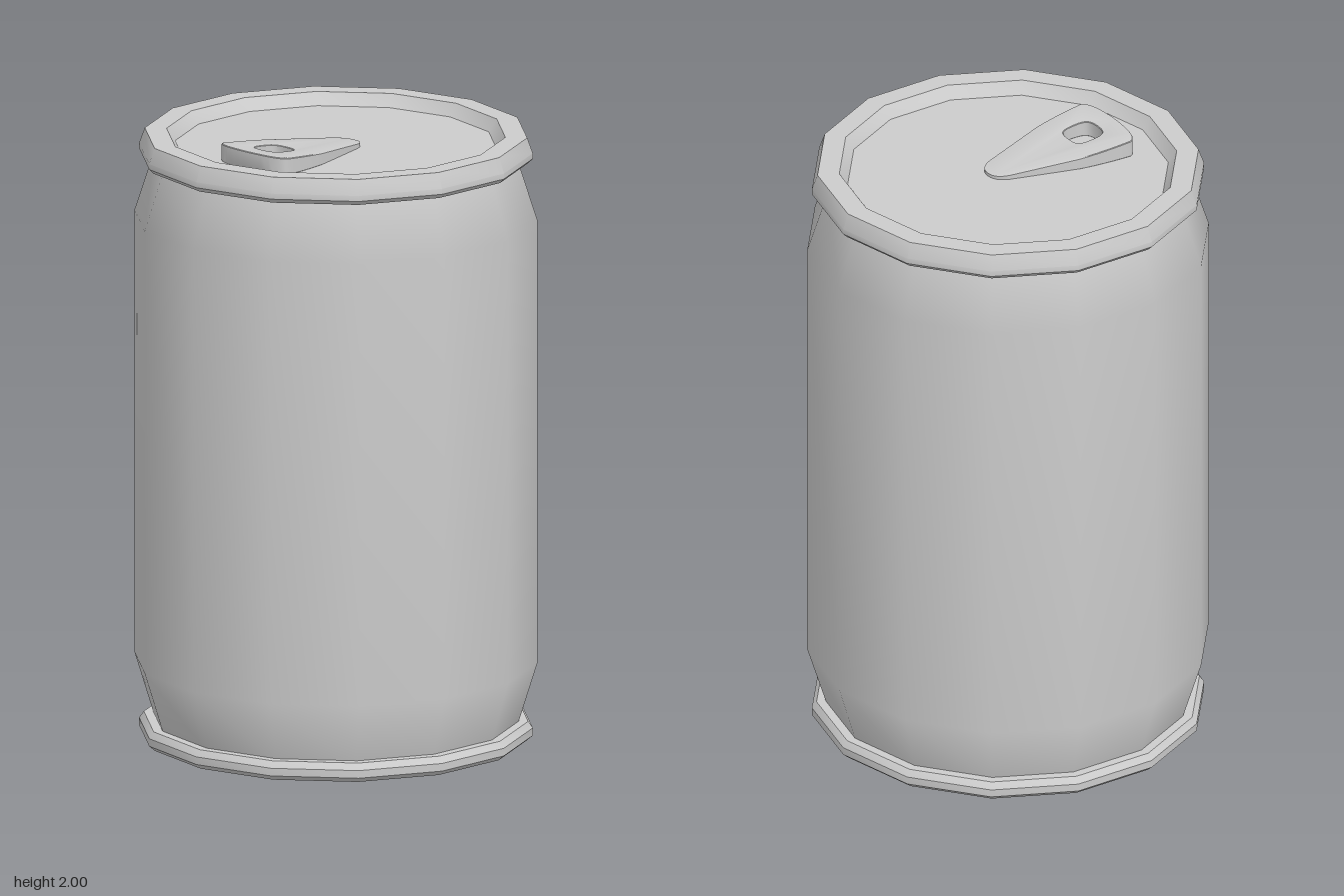
import * as THREE from 'three';
import { toCreasedNormals } from 'three/addons/utils/BufferGeometryUtils.js';

const SIDES = 14;
const material = new THREE.MeshStandardMaterial({ color: 0xcccccc });

// Fourteen-sided turned part with a corner on the x axis; profile is [radius, y], bottom to top outside
function turned(name, profile, crease) {
  const points = profile.map(([r, y]) => new THREE.Vector2(r, y));
  let geometry = new THREE.LatheGeometry(points, SIDES, Math.PI / 2);
  if (crease) geometry = toCreasedNormals(geometry, crease);
  const mesh = new THREE.Mesh(geometry, material);
  mesh.name = name;
  return mesh;
}

// Wedge-shaped pull tab with a finger hole, tapering and sloping down towards +x
function pullTab(floorY) {
  const shape = new THREE.Shape();
  shape.moveTo(0.06, 0);
  shape.quadraticCurveTo(0.06, 0.04, 0.015, 0.056);
  shape.lineTo(-0.21, 0.123);
  shape.quadraticCurveTo(-0.29, 0.139, -0.385, 0.143);
  shape.quadraticCurveTo(-0.405, 0.14, -0.415, 0.09);
  shape.quadraticCurveTo(-0.428, 0, -0.415, -0.09);
  shape.quadraticCurveTo(-0.405, -0.14, -0.385, -0.143);
  shape.quadraticCurveTo(-0.29, -0.139, -0.21, -0.123);
  shape.lineTo(0.015, -0.056);
  shape.quadraticCurveTo(0.06, -0.04, 0.06, 0);

  const hole = new THREE.Path();
  hole.moveTo(-0.36, 0);
  hole.bezierCurveTo(-0.36, -0.05, -0.345, -0.057, -0.3, -0.057);
  hole.bezierCurveTo(-0.25, -0.057, -0.242, -0.045, -0.242, 0);
  hole.bezierCurveTo(-0.242, 0.045, -0.25, 0.057, -0.3, 0.057);
  hole.bezierCurveTo(-0.345, 0.057, -0.36, 0.05, -0.36, 0);
  shape.holes.push(hole);

  const bevel = 0.006;
  let geometry = new THREE.ExtrudeGeometry(shape, {
    depth: 1 - 2 * bevel * 10, bevelThickness: bevel * 10, bevelSize: bevel,
    bevelOffset: -bevel / 2, bevelSegments: 2, curveSegments: 6,
  });
  geometry.translate(0, 0, bevel * 10);
  geometry.rotateX(-Math.PI / 2);

  // Scale the unit height at each x to the sloping top
  const position = geometry.attributes.position;
  for (let i = 0; i < position.count; i++) {
    const top = 2.0 - 0.1 * (position.getX(i) + 0.43);
    position.setY(i, floorY + position.getY(i) * (top - floorY));
  }
  geometry = toCreasedNormals(geometry, 0.6);
  geometry.translate(0, 0, 0.022);
  const mesh = new THREE.Mesh(geometry, material);
  mesh.name = 'pullTab';
  return mesh;
}

export function createModel() {
  const group = new THREE.Group();
  group.name = 'drinkCan';
  const floorY = 1.94;

  // Smooth body, narrowing at both ends
  group.add(turned('body', [
    [0.58, 0.05], [0.645, 0.26], [0.645, 1.71], [0.58, 1.91],
  ]));

  // Bottom rim with a flat closed base
  group.add(turned('bottomRim', [
    [0, 0.003], [0.61, 0.003], [0.63, 0.02], [0.63, 0.045], [0.615, 0.066], [0.56, 0.066],
  ], 0.6));

  // Top rim with the recessed lid
  group.add(turned('topRim', [
    [0.56, 1.897], [0.615, 1.897], [0.63, 1.912], [0.63, 1.93], [0.612, 1.98],
    [0.542, 1.98], [0.515, floorY], [0, floorY],
  ], 0.45));

  group.add(pullTab(floorY - 0.002));
  return group;
}
